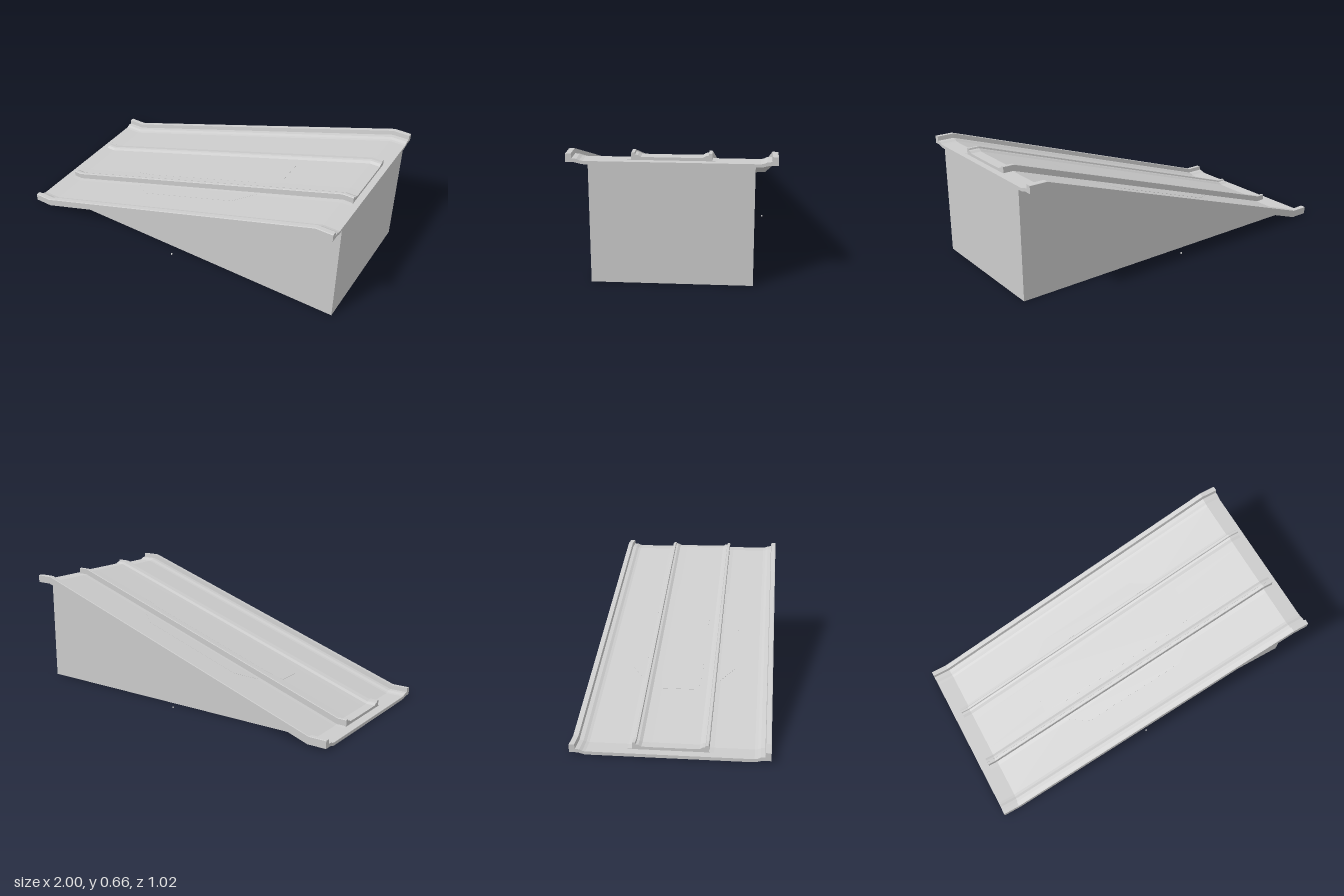
import * as THREE from 'three';

const RISE = 0.606, LOW = -0.892, HIGH = 0.912, MITRE = 0.16;

// Height of a point lying v above the ramp's underside at position x
function rampY(x, v) {
  const t = (x - LOW + MITRE * v) / (HIGH - LOW);
  return v + RISE * THREE.MathUtils.clamp(t, 0, 1);
}

const mirror = (half) => [...half, ...half.slice().reverse().map(([z, y]) => [-z, y])];
const toShape = (pts) => new THREE.Shape(pts.map(([a, b]) => new THREE.Vector2(a, b)));

// Sweep a cross-section (z, y) along the ramp: flat, slope, flat
function sweep(section, x0, x1) {
  const geo = new THREE.ExtrudeGeometry(toShape(section), { depth: 3, steps: 3, bevelEnabled: false });
  geo.rotateY(Math.PI / 2);
  const p = geo.attributes.position;
  for (let i = 0; i < p.count; i++) {
    const v = p.getY(i);
    const x = [x0, LOW - MITRE * v, HIGH - MITRE * v, x1][Math.round(p.getX(i))];
    p.setXYZ(i, x, rampY(x, v), p.getZ(i));
  }
  geo.computeVertexNormals();
  return geo;
}

// Thin plate with an (x, z) outline laid on the slope, v above the underside
function plate(outline, v) {
  const geo = new THREE.ExtrudeGeometry(toShape(outline.map(([x, z]) => [x, -z])), { depth: 0.002, bevelEnabled: false });
  geo.rotateX(-Math.PI / 2);
  const p = geo.attributes.position;
  for (let i = 0; i < p.count; i++) p.setY(i, rampY(p.getX(i), v + p.getY(i) - 0.001));
  geo.computeVertexNormals();
  return geo;
}

export function createModel() {
  const model = new THREE.Group();
  const material = new THREE.MeshStandardMaterial({ color: 0xcccccc });
  const add = (name, geo) => {
    const mesh = new THREE.Mesh(geo, material);
    mesh.name = name;
    model.add(mesh);
    return mesh;
  };

  // Solid wedge under the road
  const wedge = toShape([[LOW, 0], [1, 0], [1, RISE + 0.005], [HIGH, RISE + 0.005]]);
  add('baseWedge', new THREE.ExtrudeGeometry(wedge, { depth: 0.8, bevelEnabled: false }).translate(0, 0, -0.4));

  // Road deck with overhanging edges and raised kerbs
  add('roadDeck', sweep(mirror([
    [0.4, 0.001], [0.43, 0.002], [0.445, 0.006], [0.465, 0.011], [0.508, 0.011],
    [0.508, 0.052], [0.503, 0.054], [0.48, 0.054], [0.477, 0.03],
    [0.455, 0.028], [0.44, 0.021], [0.425, 0.018],
  ]), -1, 1));

  // Raised median with a kerb along each side
  add('median', sweep(mirror([
    [0.22, 0.012], [0.22, 0.018], [0.195, 0.02], [0.195, 0.052], [0.192, 0.054], [0.179, 0.054],
    [0.176, 0.045], [0.163, 0.043], [0.148, 0.034], [0.1, 0.033],
  ]), -0.95, 0.965));

  // Lay-by panels beside the median
  for (const s of [-1, 1]) {
    add(s > 0 ? 'frontPanel' : 'backPanel',
      plate([[-0.41, 0.21 * s], [-0.3, 0.295 * s], [0.3, 0.295 * s], [0.41, 0.21 * s]], 0.018));
  }

  // Long panel on top of the median
  add('medianPanel', plate([
    [-0.5, -0.1], [-0.38, -0.115], [0.38, -0.115], [0.5, -0.1],
    [0.5, 0.1], [0.38, 0.115], [-0.38, 0.115], [-0.5, 0.1],
  ], 0.033));

  // Small locating studs at ground level
  for (const s of [-1, 1]) {
    add('stud', new THREE.CylinderGeometry(0.004, 0.004, 0.008, 8)).position.set(0, 0.005, 0.465 * s);
  }
  return model;
}
